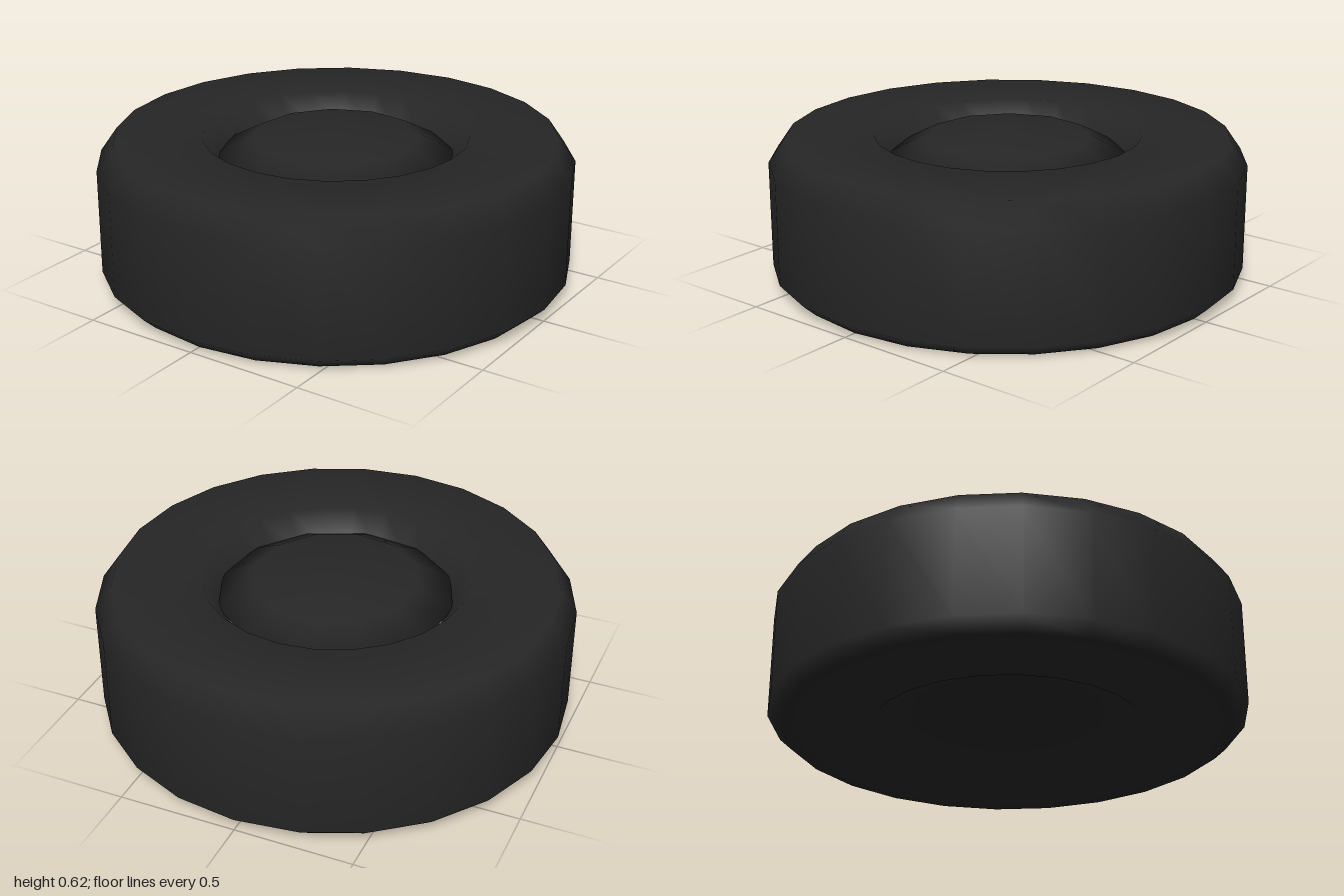
import * as THREE from 'three';

export function createModel() {
  const model = new THREE.Group();
  model.name = 'roundKnob';

  const rubber = new THREE.MeshStandardMaterial({ color: 0x262626 });
  rubber.name = 'black rubber';

  // Ring body: recessed underside, chamfered rim, sloped well on top
  const profile = [
    [0, 0.08], [0.48, 0.08], [0.58, 0], [0.945, 0], [1, 0.05],
    [1, 0.5], [0.93, 0.6], [0.56, 0.6], [0.47, 0.48],
  ].map(([r, y]) => new THREE.Vector2(r, y));
  const body = new THREE.Mesh(new THREE.LatheGeometry(profile, 24), rubber);
  body.name = 'ringBody';
  model.add(body);

  // Low dome sitting in the well, turned slightly
  const domeGeometry = new THREE.SphereGeometry(0.5, 12, 4);
  domeGeometry.scale(1, 0.22, 1);
  const dome = new THREE.Mesh(domeGeometry, rubber);
  dome.name = 'centreDome';
  dome.position.y = 0.51;
  dome.rotation.y = THREE.MathUtils.degToRad(7.5);
  model.add(dome);

  return model;
}
